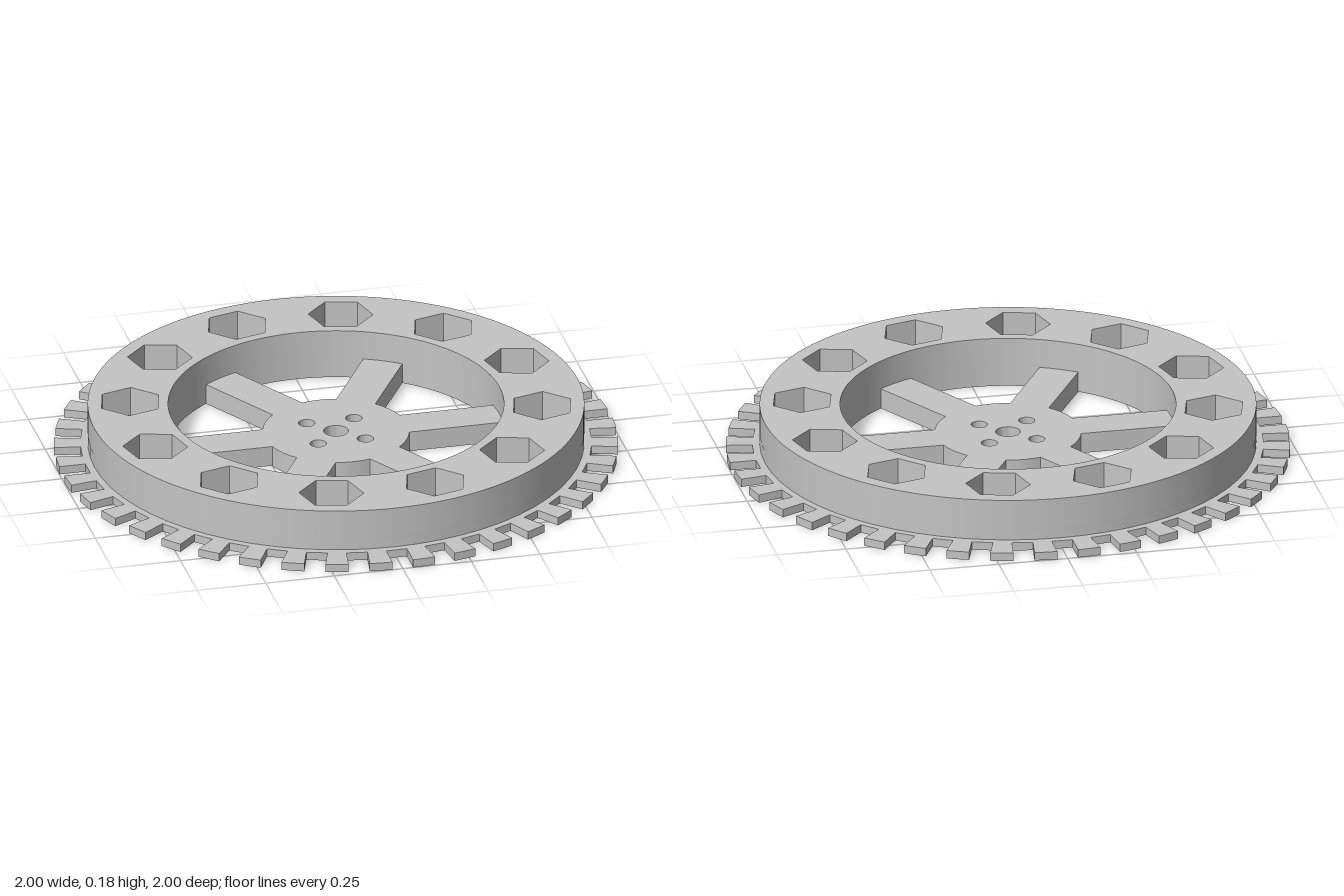
import * as THREE from 'three';
import { toCreasedNormals } from 'three/addons/utils/BufferGeometryUtils.js';

const TEETH = 40, SPOKES = 6, BOLTS = 12;
const PLATE_TOP = 0.03, SPOKE_TOP = 0.075, RIM_TOP = 0.182;
const RIM_OUTER = 0.88, RIM_INNER = 0.595, HUB = 0.26, SPOKE_HALF = 0.072;

const circle = (Type, x, y, r) => new Type().absarc(x, y, r, 0, Math.PI * 2, false);

// Toothed outline: square notches cut into a disc of radius 1
function toothedOutline() {
  const shape = new THREE.Shape();
  const half = 0.0375, root = 0.905, tip = Math.asin(half);
  for (let k = 0; k < TEETH; k++) {
    const a = (k / TEETH) * Math.PI * 2, next = ((k + 1) / TEETH) * Math.PI * 2;
    const at = (x, y) => [x * Math.cos(a) - y * Math.sin(a), x * Math.sin(a) + y * Math.cos(a)];
    if (k === 0) shape.moveTo(...at(root, -half));
    else shape.lineTo(...at(root, -half));
    shape.lineTo(...at(root, half));
    for (let i = 0; i <= 3; i++) {
      const t = a + tip + ((next - a - 2 * tip) * i) / 3;
      shape.lineTo(Math.cos(t), Math.sin(t));
    }
  }
  shape.closePath();
  return shape;
}

// Openings between neighbouring parallel-sided spokes
function spokeWindows() {
  const outer = Math.asin(SPOKE_HALF / RIM_INNER), inner = Math.asin(SPOKE_HALF / HUB);
  return Array.from({ length: SPOKES }, (_, k) => {
    const a = (k / SPOKES) * Math.PI * 2, b = ((k + 1) / SPOKES) * Math.PI * 2;
    const path = new THREE.Path();
    path.absarc(0, 0, RIM_INNER, a + outer, b - outer, false);
    path.absarc(0, 0, HUB, b - inner, a + inner, true);
    path.closePath();
    return path;
  });
}

// Places one hole per bolt around the rim
function aroundRim(makeHole) {
  return Array.from({ length: BOLTS }, (_, k) => {
    const a = ((k + 0.5) / BOLTS) * Math.PI * 2;
    return makeHole(0.73 * Math.cos(a), 0.73 * Math.sin(a), a);
  });
}

function hexagon(x, y, angle) {
  const points = [];
  for (let i = 0; i < 6; i++) {
    const t = angle + Math.PI / 6 + (i * Math.PI) / 3;
    points.push(new THREE.Vector2(x + 0.115 * Math.cos(t), y + 0.115 * Math.sin(t)));
  }
  return new THREE.Path(points).closePath();
}

// Axle hole with four screw holes
function hubHoles() {
  const holes = [circle(THREE.Path, 0, 0, 0.044)];
  for (const x of [-0.086, 0.086]) {
    for (const y of [-0.086, 0.086]) holes.push(circle(THREE.Path, x, y, 0.029));
  }
  return holes;
}

export function createModel() {
  const group = new THREE.Group();
  group.name = 'gearWheel';
  const grey = new THREE.MeshStandardMaterial({ color: 0xc4c4c4 });
  grey.name = 'light grey';

  const addLayer = (name, shape, holes, bottom, top, curveSegments) => {
    shape.holes = holes;
    const raw = new THREE.ExtrudeGeometry(shape, { depth: top - bottom, bevelEnabled: false, curveSegments });
    raw.rotateX(-Math.PI / 2).translate(0, bottom, 0);
    const mesh = new THREE.Mesh(toCreasedNormals(raw, Math.PI / 6), grey);
    mesh.name = name;
    group.add(mesh);
  };

  const throughHoles = () => [
    ...spokeWindows(),
    ...hubHoles(),
    ...aroundRim((x, y) => circle(THREE.Path, x, y, 0.066)),
  ];

  // Thin toothed plate, then the spoked web, then the deep rim with hex pockets
  addLayer('toothedPlate', toothedOutline(), throughHoles(), 0, PLATE_TOP, 32);
  addLayer('spokesAndHub', circle(THREE.Shape, 0, 0, RIM_OUTER), throughHoles(), PLATE_TOP, SPOKE_TOP, 32);
  addLayer('rim', circle(THREE.Shape, 0, 0, RIM_OUTER),
    [circle(THREE.Path, 0, 0, RIM_INNER), ...aroundRim(hexagon)], SPOKE_TOP, RIM_TOP, 96);

  return group;
}
